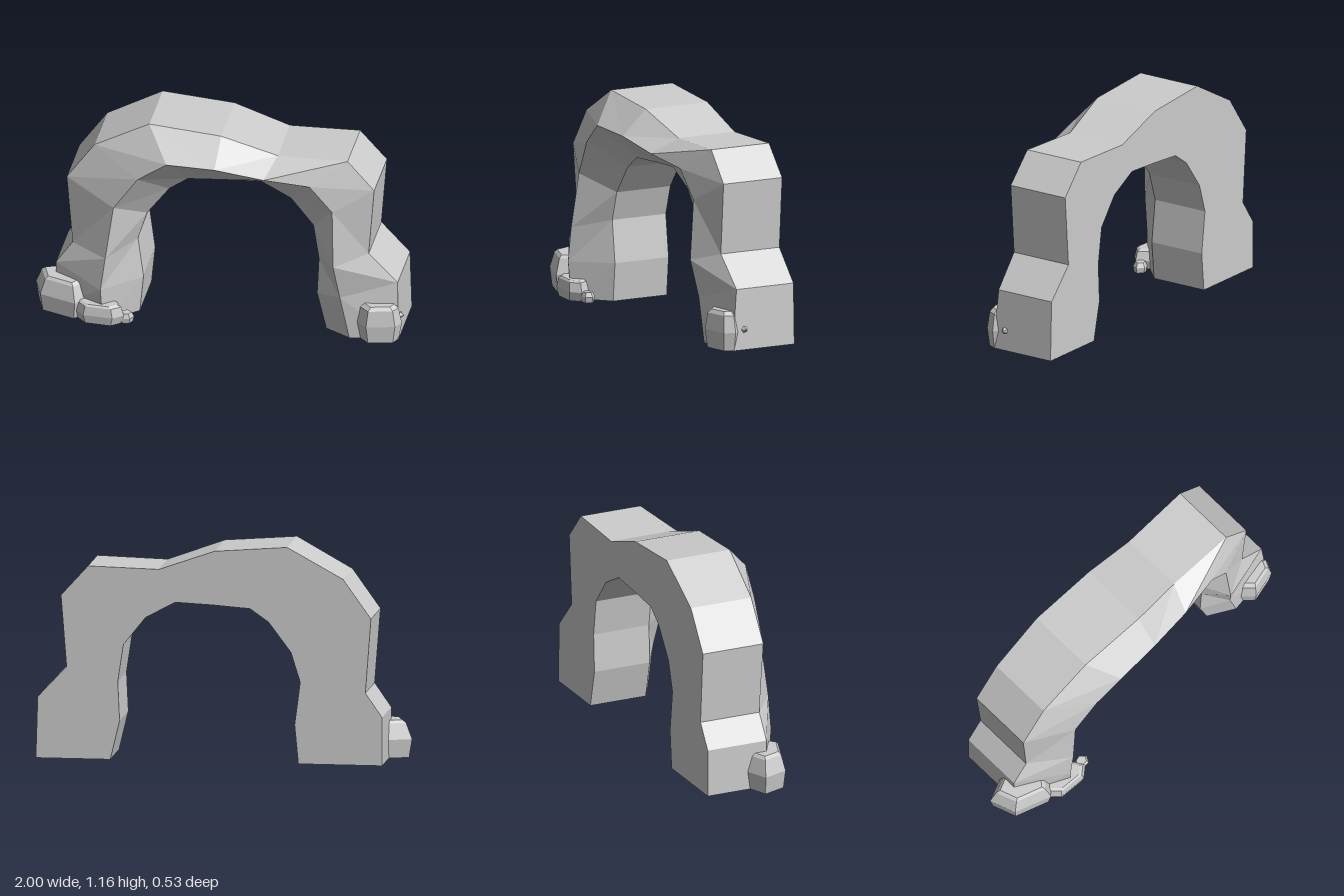
import * as THREE from 'three';

// Skin a list of closed cross-sections and cap both ends.
// flipFrom: section index from which quads are split along the other diagonal.
function skin(sections, flipFrom = Infinity) {
  const pos = [];
  const tri = (...pts) => pts.forEach(p => pos.push(...p));
  const n = sections[0].length;
  for (let i = 0; i < sections.length - 1; i++) {
    for (let j = 0; j < n; j++) {
      const k = (j + 1) % n;
      const a = sections[i][j], b = sections[i][k];
      const c = sections[i + 1][k], d = sections[i + 1][j];
      if (i < flipFrom) { tri(a, b, c); tri(a, c, d); }
      else { tri(a, b, d); tri(b, c, d); }
    }
  }
  const first = sections[0], last = sections[sections.length - 1];
  for (let j = 1; j < n - 1; j++) {
    tri(first[0], first[j + 1], first[j]);
    tri(last[0], last[j], last[j + 1]);
  }
  const g = new THREE.BufferGeometry();
  g.setAttribute('position', new THREE.Float32BufferAttribute(pos, 3));
  g.computeVertexNormals();
  return g;
}

// Faceted boulder: a footprint [x, z] scaled about its centre at each ring [y, scale].
function boulder(footprint, rings) {
  const cx = footprint.reduce((s, p) => s + p[0], 0) / footprint.length;
  const cz = footprint.reduce((s, p) => s + p[1], 0) / footprint.length;
  return skin(rings.map(([y, s]) =>
    footprint.map(([x, z]) => [cx + (x - cx) * s, y, cz + (z - cz) * s])));
}

export function createModel() {
  const group = new THREE.Group();
  const stone = new THREE.MeshStandardMaterial({ color: 0xcccccc });
  stone.name = 'grey stone';
  stone.flatShading = true;
  const add = (name, geometry) => {
    const mesh = new THREE.Mesh(geometry, stone);
    mesh.name = name;
    group.add(mesh);
    return mesh;
  };

  // Arch: outer edge, protruding front ridge and inner edge, from -x foot to +x foot
  const back = -0.265;
  const outer = [
    [-0.88, 0, 0.08], [-0.88, 0.26, 0.08], [-0.79, 0.39, 0.08], [-0.82, 0.79, 0.09],
    [-0.67, 1.0, 0.09], [-0.37, 1.165, 0.105], [0.02, 1.135, 0.11], [0.32, 1.03, 0.075],
    [0.7, 1.04, 0.085], [0.845, 0.88, 0.09], [0.815, 0.495, 0.09], [0.97, 0.33, 0.08], [0.98, 0, 0.11],
  ];
  const ridge = [
    [-0.6, 0, 0.22], [-0.61, 0.2, 0.235], [-0.585, 0.39, 0.23], [-0.545, 0.69, 0.205],
    [-0.41, 0.89, 0.23], [-0.25, 1.01, 0.255], [0.01, 1.0, 0.245], [0.27, 0.95, 0.215],
    [0.51, 0.91, 0.17], [0.63, 0.76, 0.155], [0.64, 0.44, 0.18], [0.67, 0.24, 0.145], [0.72, 0, 0.14],
  ];
  const inner = [
    [-0.43, 0], [-0.41, 0.21], [-0.44, 0.44], [-0.39, 0.6], [-0.27, 0.76], [-0.17, 0.83],
    [0.03, 0.845], [0.23, 0.855], [0.39, 0.77], [0.51, 0.62], [0.54, 0.42], [0.53, 0.21], [0.58, 0],
  ];
  const sections = outer.map((o, i) => [
    [o[0], o[1], back], o, ridge[i], [...inner[i], 0.06], [...inner[i], back],
  ]);
  add('arch', skin(sections, 6));

  // Boulders around the -x foot
  add('largeBoulder', boulder(
    [[-1, 0.02], [-0.95, 0.16], [-0.75, 0.23], [-0.67, 0.13], [-0.72, 0], [-0.88, -0.03]],
    [[0, 0.9], [0.1, 1], [0.185, 0.8], [0.2, 0.68]]));
  add('flatBoulder', boulder(
    [[-0.765, 0.19], [-0.7, 0.255], [-0.54, 0.265], [-0.485, 0.22], [-0.53, 0.15], [-0.7, 0.14]],
    [[0, 0.86], [0.05, 1], [0.1, 0.88], [0.11, 0.72]]));
  add('pebble', boulder(
    [[-0.525, 0.19], [-0.5, 0.22], [-0.455, 0.215], [-0.437, 0.18], [-0.47, 0.15], [-0.51, 0.16]],
    [[0, 0.85], [0.03, 1], [0.055, 0.7]]));

  // Boulder leaning on the +x foot
  add('sideBoulder', boulder(
    [[0.745, 0.12], [0.82, 0.19], [0.97, 0.155], [0.997, 0.1], [0.94, 0.03], [0.8, 0.05]],
    [[0, 0.86], [0.1, 1], [0.19, 0.85], [0.21, 0.65]]));

  // Small stone tip poking out of the +x foot
  const tip = add('stoneTip', new THREE.ConeGeometry(0.035, 0.04, 5));
  tip.rotation.z = -Math.PI / 2;
  tip.position.set(0.979, 0.11, 0.035);

  return group;
}
